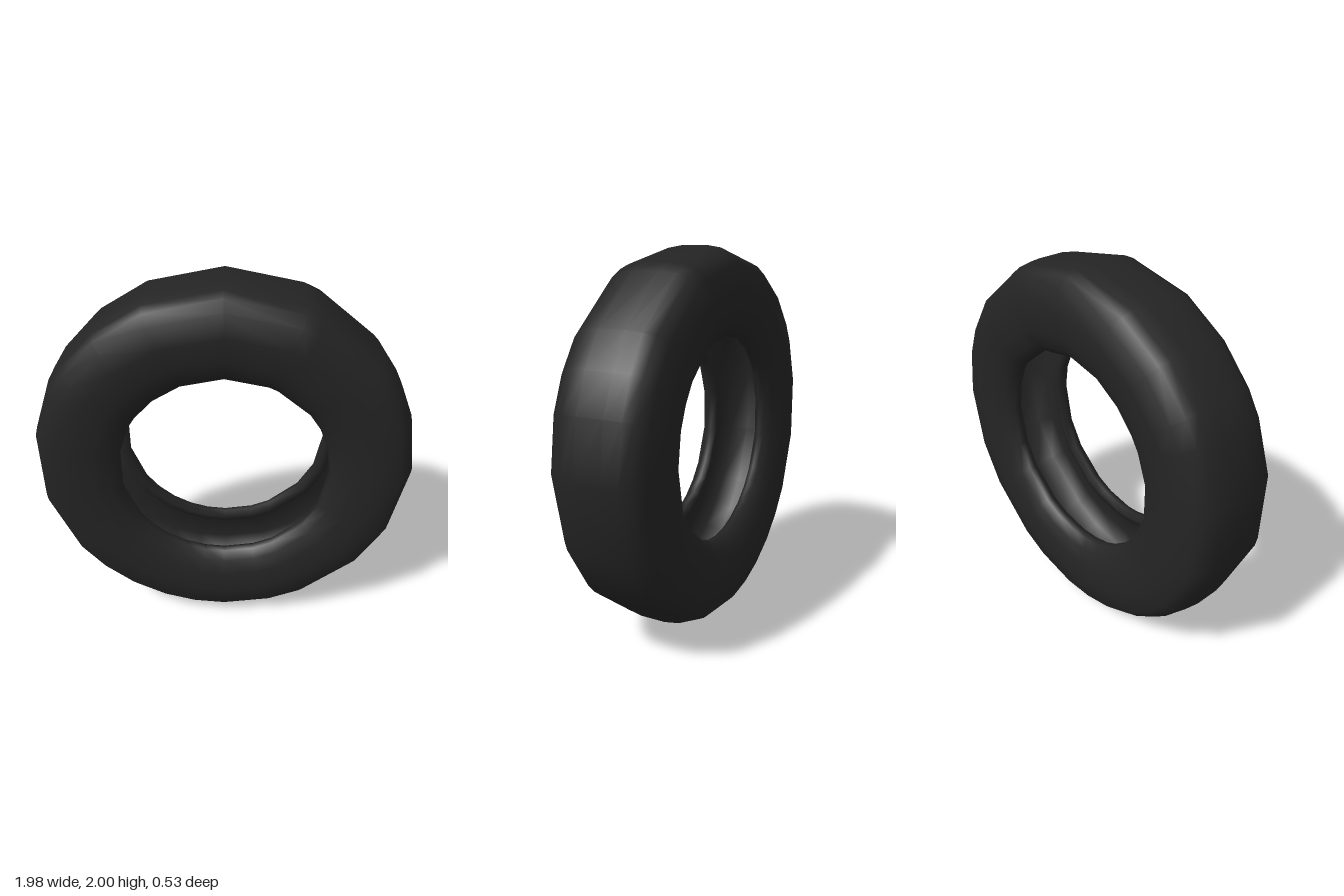
import * as THREE from 'three';
import { mergeVertices } from 'three/addons/utils/BufferGeometryUtils.js';

export function createModel() {
  const model = new THREE.Group();
  const rubber = new THREE.MeshStandardMaterial({ color: 0x242424 });
  rubber.name = 'black rubber';

  // Half cross-section (radius, depth): tread, shoulder, sidewall, bead, hollow inside
  const outside = [[0.998, 0.07], [0.985, 0.15], [0.962, 0.2], [0.915, 0.248], [0.8, 0.267],
    [0.68, 0.256], [0.6, 0.228], [0.556, 0.19]];
  const inside = [[0.55, 0.16], [0.572, 0.13], [0.615, 0.145], [0.65, 0.19], [0.8, 0.212],
    [0.9, 0.17], [0.935, 0.07]];
  const half = [...outside, ...inside];
  const mirrored = half.map(([r, d]) => [r, -d]).reverse();
  const profile = [...half, ...mirrored, half[0]].map(([r, d]) => new THREE.Vector2(r, d));

  // Uneven facet angles around the ring, clockwise from the top, in degrees
  const angles = [0, 23, 28, 50, 61.5, 73, 90, 112.5, 129.5, 152, 163.5, 180, 191, 202,
    214, 225.5, 237, 259, 281.5, 298.5, 306.5, 321, 337.5, 360];

  // Sweep the profile, then turn each section to its own angle with the axle along z
  let ring = new THREE.LatheGeometry(profile, angles.length - 1);
  const pos = ring.attributes.position;
  angles.forEach((deg, i) => {
    const a = THREE.MathUtils.degToRad(deg);
    profile.forEach((p, j) => {
      pos.setXYZ(i * profile.length + j, Math.sin(a) * p.x - 0.005, Math.cos(a) * p.x, -p.y);
    });
  });
  ring.deleteAttribute('normal');
  ring.deleteAttribute('uv');
  ring = mergeVertices(ring, 1e-4);
  ring.computeVertexNormals();

  const tire = new THREE.Mesh(ring, rubber);
  tire.name = 'tire';
  tire.position.y = 1;
  model.add(tire);
  return model;
}
